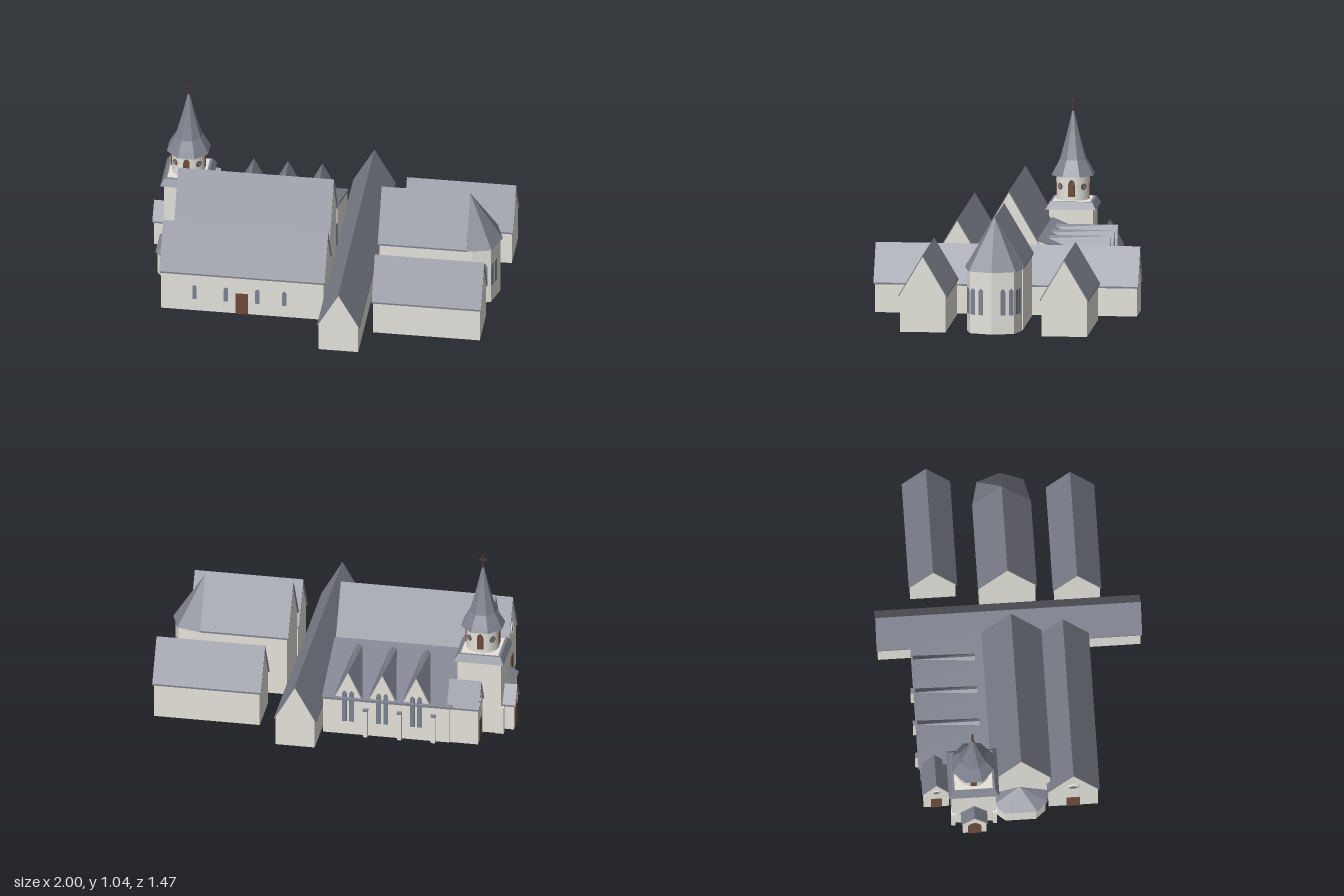
import * as THREE from 'three';

const mat = (name, color, double) => {
  const m = new THREE.MeshStandardMaterial({ color });
  m.name = name;
  if (double) m.side = THREE.DoubleSide;
  return m;
};

export function createModel() {
  const church = new THREE.Group();
  church.name = 'church';
  const WALL = mat('plaster', 0xe4e2da, true);
  const ROOF = mat('slate', 0x7f828e, true);
  const GLASS = mat('glass', 0x7b8291);
  const WOOD = mat('wood', 0x6e4b3b);
  const IRON = mat('iron', 0x43352f);
  const T = 0.01; // roof thickness

  const add = (name, geo, material, parent = church) => {
    const m = new THREE.Mesh(geo, material);
    m.name = name;
    parent.add(m);
    return m;
  };
  const box = (name, x0, x1, y0, y1, z0, z1, material) => {
    const g = new THREE.BoxGeometry(x1 - x0, y1 - y0, z1 - z0);
    g.translate((x0 + x1) / 2, (y0 + y1) / 2, (z0 + z1) / 2);
    return add(name, g, material);
  };
  const extrude = (pts, depth) => new THREE.ExtrudeGeometry(
    new THREE.Shape(pts.map(p => new THREE.Vector2(p[0], p[1]))), { depth, bevelEnabled: false });
  // flat polygons, each fanned from its first corner
  const polygons = polys => {
    const v = [];
    for (const p of polys)
      for (let i = 1; i < p.length - 1; i++) v.push(...p[0], ...p[i], ...p[i + 1]);
    const g = new THREE.BufferGeometry();
    g.setAttribute('position', new THREE.Float32BufferAttribute(v, 3));
    g.computeVertexNormals();
    return g;
  };
  const faces = (name, polys, material) => add(name, polygons(polys), material);
  // open ring of upright walls over an x,z outline
  const wallRing = (name, pts, y1) => faces(name, pts.map((p, i) => {
    const q = pts[(i + 1) % pts.length];
    return [[p[0], 0, p[1]], [q[0], 0, q[1]], [q[0], y1, q[1]], [p[0], y1, p[1]]];
  }), WALL);
  const flat = g => {
    const f = g.toNonIndexed();
    f.computeVertexNormals();
    return f;
  };

  // gabled building, open below: a..b along the ridge, c = ridge line, half = roof half width
  const house = (name, alongX, a, b, c, half, eave, ridge, inset = 0.008) => {
    const grp = new THREE.Group();
    grp.name = name;
    church.add(grp);
    const w = half - inset, top = ridge - T - (ridge - T - eave) * w / half;
    const gable = z => [[0, ridge - T, z], [-w, top, z], [-w, 0, z], [w, 0, z], [w, top, z]];
    const z0 = a + inset, z1 = b - inset;
    const side = (x, from, to) => [[x, 0, from], [x, 0, to], [x, top, to], [x, top, from]];
    const walls = polygons([gable(z1), gable(z0).reverse(), side(w, z1, z0), side(-w, z0, z1)]);
    const roof = extrude([[-half, eave + T], [-half, eave], [0, ridge - T], [half, eave], [half, eave + T], [0, ridge]],
      b - a);
    roof.translate(0, 0, a);
    for (const g of [walls, roof]) {
      if (alongX) g.rotateY(Math.PI / 2);
      g.translate(alongX ? 0 : c, 0, alongX ? c : 0);
    }
    add(name + 'Walls', walls, WALL, grp);
    add(name + 'Roof', roof, ROOF, grp);
  };

  // pointed-arch plate on a wall; angle turns it from the front about y
  const arch = (name, x, y, z, angle, w, h, material) => {
    const s = new THREE.Shape();
    const r = w / 2, sp = h - w * 0.8;
    s.moveTo(-r, 0);
    s.lineTo(r, 0);
    s.lineTo(r, sp);
    s.quadraticCurveTo(r, h - w * 0.25, 0, h);
    s.quadraticCurveTo(-r, h - w * 0.25, -r, sp);
    const g = new THREE.ExtrudeGeometry(s, { depth: 0.006, bevelEnabled: false, curveSegments: 4 });
    g.translate(0, 0, -0.003);
    const m = add(name, g, material);
    m.position.set(x, y, z);
    m.rotation.y = angle;
  };
  // round window with a raised surround
  const roundWindow = (name, x, y, z, angle, r, surround) => {
    const grp = new THREE.Group();
    grp.name = name;
    const pane = new THREE.CylinderGeometry(r, r, 0.006, 16);
    pane.rotateX(Math.PI / 2);
    add(name + 'Pane', pane, GLASS, grp);
    add(name + 'Ring', new THREE.TorusGeometry(r, r * 0.25, 6, 16), surround, grp);
    grp.position.set(x, y, z);
    grp.rotation.y = angle;
    church.add(grp);
  };
  const E = Math.PI / 2, W = -Math.PI / 2, N = Math.PI;

  // main buildings
  house('nave', true, -0.83, 0.04, 0.008, 0.168, 0.35, 0.652);
  house('frontAisle', true, -0.875, 0.047, 0.295, 0.145, 0.235, 0.49);
  house('transept', false, -0.735, 0.735, 0.163, 0.118, 0.157, 0.375);
  house('frontChapel', true, 0.32, 0.93, 0.393, 0.134, 0.195, 0.432);
  house('backChapel', true, 0.39, 1.0, -0.4, 0.134, 0.195, 0.432);
  house('choir', true, 0.305, 0.8, 0.006, 0.163, 0.345, 0.628);
  house('porch', true, -1.0, -0.91, -0.26, 0.073, 0.145, 0.25);
  house('sideEntrance', true, -0.835, -0.655, -0.461, 0.078, 0.21, 0.36);

  // front aisle openings
  for (const x of [-0.68, -0.505, -0.33, -0.18]) arch('aisleWindow', x, 0.075, 0.432, 0, 0.024, 0.092, GLASS);
  box('frontDoor', -0.452, -0.382, 0, 0.132, 0.428, 0.436, WOOD);
  box('westDoor', -0.871, -0.863, 0, 0.125, 0.258, 0.332, WOOD);
  roundWindow('westRoundWindow', -0.867, 0.29, 0.295, W, 0.03, WALL);

  // east apse: polygonal wall and hipped roof
  const cz = 0.006;
  wallRing('apseWalls', [[0.79, cz + 0.152], [0.83, cz + 0.152], [0.93, cz + 0.122], [0.967, cz], [0.93, cz - 0.122],
    [0.83, cz - 0.152], [0.79, cz - 0.152]], 0.35);
  const rim = [[0.799, 0.163], [0.935, 0.13], [0.98, 0], [0.935, -0.13], [0.799, -0.163]]
    .map(p => [p[0], 0.346, cz + p[1]]);
  const hip = [];
  for (let i = 0; i < 4; i++) hip.push([[0.799, 0.628, cz], rim[i], rim[i + 1]]);
  faces('apseRoof', hip, ROOF);
  for (const s of [1, -1]) {
    // windows spaced along one wall, from corner p to corner q
    const pair = (p, q, ts) => {
      const dx = q[0] - p[0], dz = q[1] - p[1];
      for (const t of ts)
        arch('apseWindow', p[0] + dx * t, 0.105, cz + s * (p[1] + dz * t), Math.atan2(dz, -s * dx), 0.026, 0.148, GLASS);
    };
    pair([0.967, 0], [0.93, 0.122], [0.5, 0.87]);
    pair([0.93, 0.122], [0.83, 0.152], [0.32, 0.68]);
  }

  // back aisle: lean-to with three dormers and buttresses
  const end = x => [[x, 0, -0.537], [x, 0.217, -0.537], [x, 0.38, -0.14], [x, 0, -0.14]];
  const west = end(-0.67), east = end(0.04);
  faces('backAisleWalls', [west, [...east].reverse(), [west[1], west[0], east[0], east[1]]], WALL);
  const leanRoof = extrude([[0.55, 0.214], [0.55, 0.226], [0.155, 0.391], [0.155, 0.379]], 0.73);
  leanRoof.rotateY(Math.PI / 2);
  leanRoof.translate(-0.685, 0, 0);
  add('backAisleRoof', leanRoof, ROOF);
  for (const x of [-0.482, -0.292, -0.1]) {
    const f = [x, 0.387, -0.542], b = [x, 0.387, -0.2];
    faces('dormerRoof', [-1, 1].map(s => [f, b, [x + s * 0.02, 0.372, -0.2], [x + s * 0.082, 0.228, -0.542]]), ROOF);
    faces('dormerGable', [[[x + 0.08, 0.21, -0.538], [x - 0.08, 0.21, -0.538], [x, 0.382, -0.538]]], WALL);
    for (const d of [-0.02, 0.02]) arch('backAisleWindow', x + d, 0.08, -0.539, N, 0.026, 0.19, GLASS);
  }
  for (const x of [-0.58, -0.39, -0.2]) {
    box('buttress', x - 0.012, x + 0.012, 0, 0.16, -0.562, -0.53, WALL);
    box('buttressCap', x - 0.014, x + 0.014, 0.16, 0.168, -0.563, -0.53, ROOF);
  }
  box('sideDoor', -0.831, -0.823, 0, 0.125, -0.491, -0.431, WOOD);
  roundWindow('sideRoundWindow', -0.828, 0.225, -0.461, W, 0.022, WALL);
  arch('porchDoor', -0.993, 0, -0.26, W, 0.075, 0.15, WOOD);

  // west apse
  const outline = k => [[-0.82, 0.16 * k], [-0.89, 0.15 * k], [-0.945 + (1 - k) * 0.12, 0.09 * k],
    [-0.945 + (1 - k) * 0.12, -0.09 * k], [-0.89, -0.15 * k], [-0.82, -0.16 * k]];
  wallRing('westApseWalls', outline(0.92), 0.142);
  const ring = outline(1).map(p => [p[0], 0.138, p[1]]);
  const cone = [];
  for (let i = 0; i < 5; i++) cone.push([[-0.82, 0.22, 0], ring[i], ring[i + 1]]);
  faces('westApseRoof', cone, ROOF);

  // tower: square base, skirt roof, round belfry, eight-sided spire
  const tx = -0.807, tz = -0.259;
  wallRing('towerBase', [[1, 1], [1, -1], [-1, -1], [-1, 1]].map(p => [tx + p[0] * 0.122, tz + p[1] * 0.122]), 0.44);
  for (const s of [1, -1])
    box('towerButtress', -0.945, -0.9, 0, 0.16, tz + s * 0.115 - 0.012, tz + s * 0.115 + 0.012, WALL);
  const skirt = new THREE.CylinderGeometry(0.118 * Math.SQRT2, 0.14 * Math.SQRT2, 0.04, 4);
  skirt.rotateY(Math.PI / 4);
  add('skirtRoof', flat(skirt), ROOF).position.set(tx, 0.455, tz);
  box('belfryFloor', tx - 0.105, tx + 0.105, 0.47, 0.478, tz - 0.105, tz + 0.105, WALL);
  add('belfry', new THREE.CylinderGeometry(0.092, 0.092, 0.15, 24), WALL).position.set(tx, 0.545, tz);
  for (let i = 0; i < 8; i++) {
    const a = i * Math.PI / 4, x = tx + Math.sin(a) * 0.092, z = tz + Math.cos(a) * 0.092;
    if (i % 2) roundWindow('belfryRoundWindow', x, 0.553, z, a, 0.015, WOOD);
    else arch('belfryLouvre', x, 0.5, z, a, 0.036, 0.095, WOOD);
  }
  const profile = [[0, 0.612], [0.125, 0.612], [0.108, 0.645], [0.077, 0.7], [0.058, 0.765], [0.034, 0.85], [0.004, 0.975]];
  const spire = new THREE.LatheGeometry(profile.map(p => new THREE.Vector2(p[0], p[1])), 8);
  spire.rotateY(Math.PI / 8);
  add('spire', flat(spire), ROOF).position.set(tx, 0, tz);
  box('crossPost', tx - 0.005, tx + 0.005, 0.965, 1.043, tz - 0.005, tz + 0.005, IRON);
  box('crossArm', tx - 0.022, tx + 0.022, 1.01, 1.02, tz - 0.005, tz + 0.005, IRON);

  return church;
}
